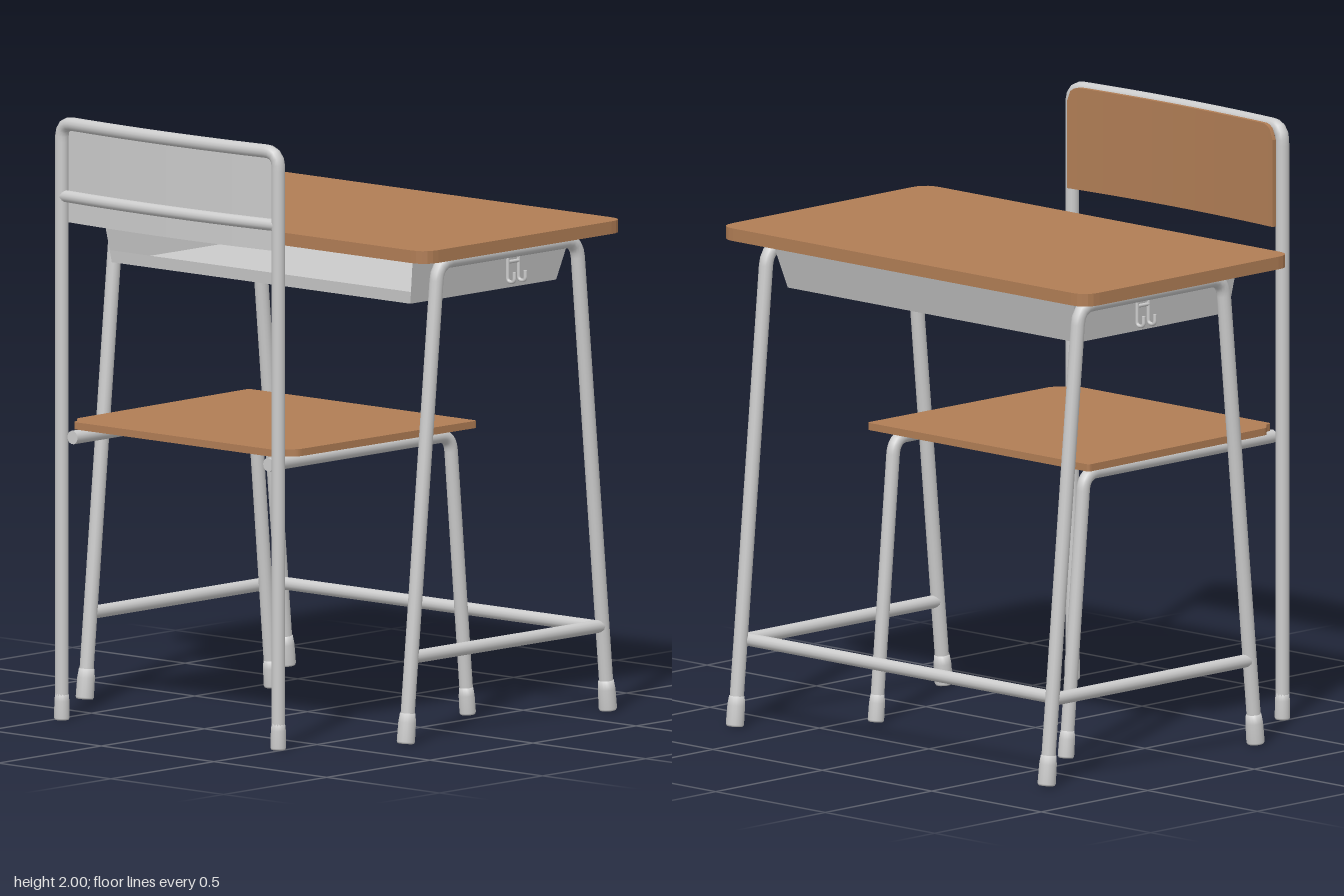
import * as THREE from 'three';

const V = (x, y, z) => new THREE.Vector3(x, y, z);
const metal = new THREE.MeshStandardMaterial({ color: 0xcccccc });
const sheet = new THREE.MeshStandardMaterial({ color: 0xcccccc, side: THREE.DoubleSide });
const wood = new THREE.MeshStandardMaterial({ color: 0xb07d55 });
const rubber = new THREE.MeshStandardMaterial({ color: 0xf0f0f0 });

function add(parent, name, geometry, material) {
  const mesh = new THREE.Mesh(geometry, material);
  mesh.name = name;
  parent.add(mesh);
  return mesh;
}

// Bent tube through corner points, each corner rounded by `bend`, ends closed
function tube(parent, name, pts, r, bend = 0.05, segments = 160) {
  const path = new THREE.CurvePath();
  let from = pts[0];
  for (let i = 1; i < pts.length - 1; i++) {
    const p = pts[i];
    const a = p.clone().add(pts[i - 1].clone().sub(p).setLength(bend));
    const b = p.clone().add(pts[i + 1].clone().sub(p).setLength(bend));
    path.add(new THREE.LineCurve3(from, a));
    path.add(new THREE.QuadraticBezierCurve3(a, p, b));
    from = b;
  }
  path.add(new THREE.LineCurve3(from, pts[pts.length - 1]));
  const mesh = add(parent, name, new THREE.TubeGeometry(path, pts.length > 2 ? segments : 1, r, 14), metal);
  const n = pts.length;
  for (const [end, inner] of [[pts[0], pts[1]], [pts[n - 1], pts[n - 2]]]) {
    const cap = add(mesh, 'tubeEnd', new THREE.CircleGeometry(r, 14), metal);
    cap.position.copy(end);
    cap.lookAt(end.clone().multiplyScalar(2).sub(inner));
  }
  return mesh;
}

// Rubber foot slipped over the end of a leg
function foot(parent, base, legTop, r, height) {
  const dir = legTop.clone().sub(base).normalize();
  const profile = [[0, 0], [r * 0.9, 0], [r, 0.006], [r * 0.97, height * 0.7], [r * 0.85, height], [0, height]];
  const mesh = add(parent, 'foot', new THREE.LatheGeometry(profile.map(p => new THREE.Vector2(...p)), 16), rubber);
  mesh.position.copy(base);
  mesh.quaternion.setFromUnitVectors(V(0, 1, 0), dir);
}

// Flat board from an outline in x and z, corners rounded
function board(parent, name, outline, bend, y, thickness) {
  const pts = outline.map(p => new THREE.Vector2(...p));
  const shape = new THREE.Shape();
  pts.forEach((p, i) => {
    const prev = pts[(i + pts.length - 1) % pts.length], next = pts[(i + 1) % pts.length];
    const a = p.clone().add(prev.clone().sub(p).setLength(bend));
    const b = p.clone().add(next.clone().sub(p).setLength(bend));
    if (i) shape.lineTo(a.x, a.y); else shape.moveTo(a.x, a.y);
    shape.quadraticCurveTo(p.x, p.y, b.x, b.y);
  });
  shape.closePath();
  const g = new THREE.ExtrudeGeometry(shape, { depth: thickness, bevelEnabled: false, curveSegments: 5 });
  g.rotateX(-Math.PI / 2).translate(0, y, 0);
  return add(parent, name, g, wood);
}

// Open storage tray with sloping walls and a low lip on the chair side
function tray(parent) {
  const ring = (y, x0, x1, z) => [V(x0, y, z), V(x1, y, z), V(x1, y, -z), V(x0, y, -z)];
  const low = ring(1.445, -0.225, 0.482, 0.662), top = ring(1.605, -0.24, 0.53, 0.687);
  const lip = i => low[i].clone().lerp(top[i], 0.25);
  const quads = [[low[3], low[2], low[1], low[0]], [low[3], low[0], lip(0), lip(3)]];
  for (let i = 0; i < 3; i++) quads.push([low[i], low[i + 1], top[i + 1], top[i]]);
  const points = quads.flatMap(([a, b, c, d]) => [a, b, c, a, c, d]);
  const g = new THREE.BufferGeometry().setFromPoints(points);
  g.computeVertexNormals();
  add(parent, 'tray', g, sheet);
}

function makeDesk() {
  const desk = new THREE.Group();
  desk.name = 'desk';
  board(desk, 'deskTop', [[-0.345, -0.837], [0.625, -0.837], [0.625, 0.837], [-0.345, 0.837]], 0.065, 1.605, 0.042);
  tray(desk);
  const r = 0.0235;
  for (const s of [1, -1]) {
    const z = 0.712 * s;
    const legs = [V(-0.302, 0.003, z), V(-0.147, 1.578, z), V(0.527, 1.578, z), V(0.679, 0.003, z)];
    const inset = legs.map(p => p.clone());
    inset[0].lerp(legs[1], 0.01);
    inset[3].lerp(legs[2], 0.01);
    tube(desk, 'legFrame', inset, r, 0.06);
    foot(desk, legs[0], legs[1], 0.03, 0.1);
    foot(desk, legs[3], legs[2], 0.03, 0.1);
    tube(desk, 'sideRail', [V(-0.27, 0.285, z), V(0.645, 0.285, z)], 0.0215);
    // Pair of bag hooks under the frame
    for (const x of [0.197, 0.25]) {
      tube(desk, 'bagHook', [V(x, 1.56, 0.708 * s), V(x, 1.475, 0.708 * s),
        V(x, 1.475, 0.738 * s), V(x, 1.51, 0.738 * s)], 0.006, 0.014, 40);
    }
    tube(desk, 'hookBar', [V(0.197, 1.54, 0.708 * s), V(0.25, 1.54, 0.708 * s)], 0.006);
  }
  tube(desk, 'footBar', [V(0.623, 0.285, -0.712), V(0.623, 0.285, 0.712)], 0.0215);
  return desk;
}

function makeChair() {
  const chair = new THREE.Group();
  chair.name = 'chair';
  const r = 0.0225;
  board(chair, 'seat', [[-0.645, -0.45], [-0.615, -0.455], [-0.58, -0.493], [0.27, -0.507],
    [0.27, 0.507], [-0.58, 0.493], [-0.615, 0.455], [-0.645, 0.45]].map(([x, z]) => [x, z]), 0.014, 0.962, 0.024);

  // Bowed bars behind the backrest; the top one carries on into the posts
  const bow = z => -0.666 - 0.024 * (1 - (z / 0.48) ** 2);
  const arc = (y, zMax) => Array.from({ length: 9 }, (_, i) => {
    const z = zMax * (1 - i / 4);
    return V(bow(z), y, z);
  });
  const topBar = arc(1.977, 0.48);
  tube(chair, 'backFrame', [V(-0.666, 0.01, 0.48), ...topBar, V(-0.666, 0.01, -0.48)], r, 0.05, 260);
  tube(chair, 'lowerBackBar', arc(1.735, 0.48), 0.02, 0.04, 40);

  for (const s of [1, -1]) {
    foot(chair, V(-0.666, 0, 0.48 * s), V(-0.666, 1, 0.48 * s), 0.0255, 0.09);
    const z = 0.434 * s;
    const toe = V(0.303, 0.003, z), knee = V(0.217, 0.938, z);
    tube(chair, 'seatRailAndFrontLeg', [V(-0.665, 0.938, z), knee, toe.clone().lerp(knee, 0.01)], r, 0.055);
    foot(chair, toe, knee, 0.027, 0.09);
  }

  // Curved backrest: wooden front, grey back, rounded top corners
  const g = new THREE.BoxGeometry(0.015, 0.34, 0.94, 1, 8, 64);
  const p = g.attributes.position;
  for (let i = 0; i < p.count; i++) {
    const z = p.getZ(i);
    const over = Math.max(0, Math.abs(z) - 0.42) / 0.05;
    const drop = 0.05 * (1 - Math.sqrt(Math.max(0, 1 - over * over)));
    const t = (p.getY(i) + 0.17) / 0.34;
    p.setXYZ(i, p.getX(i) - 0.6375 - 0.022 * (1 - (z / 0.47) ** 2), 1.645 + t * (0.34 - drop), z);
  }
  g.computeVertexNormals();
  add(chair, 'backrest', g, [wood, metal, wood, wood, wood, wood]);
  return chair;
}

export function createModel() {
  const model = new THREE.Group();
  model.name = 'schoolDeskAndChair';
  model.add(makeDesk(), makeChair());
  return model;
}
